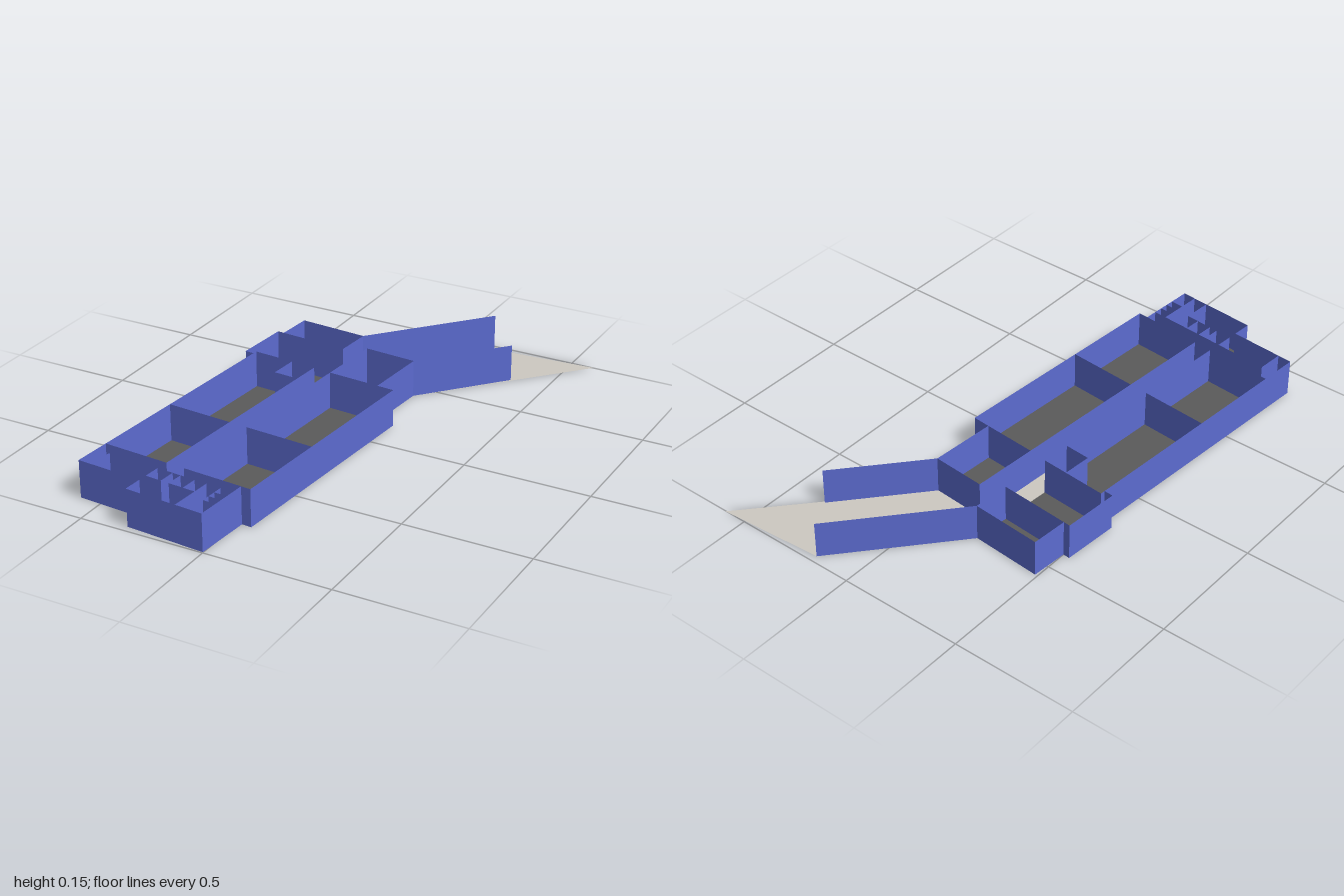
import * as THREE from 'three';
import { mergeGeometries } from 'three/addons/utils/BufferGeometryUtils.js';

const H = 0.15; // wall height

const material = (name, color) => {
  const m = new THREE.MeshStandardMaterial({ color, side: THREE.DoubleSide });
  m.name = name;
  return m;
};

// corners of an axis-aligned room, from (u0, v0) to (u1, v1)
const rect = (u0, v0, u1, v1) => [[u0, v0], [u1, v0], [u1, v1], [u0, v1]];

// flat floor from a plan outline, facing up
function floorGeometry(points) {
  const shape = new THREE.Shape(points.map(([u, v]) => new THREE.Vector2(u, -v)));
  return new THREE.ShapeGeometry(shape).rotateX(-Math.PI / 2);
}

// upright thin walls along a plan polyline
function wallGeometry(points) {
  const panels = [];
  for (let i = 1; i < points.length; i++) {
    const [u0, v0] = points[i - 1], [u1, v1] = points[i];
    const g = new THREE.PlaneGeometry(Math.hypot(u1 - u0, v1 - v0), H);
    g.rotateY(-Math.atan2(v1 - v0, u1 - u0));
    g.translate((u0 + u1) / 2, H / 2, (v0 + v1) / 2);
    panels.push(g);
  }
  return mergeGeometries(panels);
}

export function createModel() {
  const blue = material('wall blue', 0x5c6bd0);
  const grey = material('room floor grey', 0x5a5a5a);
  const beige = material('corridor beige', 0xcdc9c1);

  const model = new THREE.Group();
  model.name = 'floorPlan';
  const plan = new THREE.Group();
  plan.name = 'building';
  plan.rotation.y = -THREE.MathUtils.degToRad(4.3);
  model.add(plan);

  const add = (name, geometry, mat) => {
    const mesh = new THREE.Mesh(geometry, mat);
    mesh.name = name;
    plan.add(mesh);
  };

  // main plan lines
  const L = -0.52, CL = -0.248, CR = -0.172, R = 0.112, E = 0.073;
  const south = 0.764, hall = 0.813, end = 0.916, front = 0.993;

  // room floors
  const rooms = {
    backLeftRoom: rect(-0.53, -0.523, CL, -0.377),
    sideRoom: [[-0.557, -0.377], [CL, -0.377], [CL, -0.172], [L, -0.172], [L, -0.153], [-0.557, -0.153]],
    westHall: rect(L, -0.172, CL, south),
    backRightRoom: rect(CR, -0.431, 0.042, -0.167),
    eastHall: rect(CR, -0.167, R, south),
    frontRooms: [[-0.463, hall], [E, hall], [E, front], [-0.25, front], [-0.25, end], [-0.463, end]],
  };
  for (const [name, outline] of Object.entries(rooms)) add(name + 'Floor', floorGeometry(outline), grey);

  // corridor with its slanted passage
  add('corridorFloor', floorGeometry([
    [CL, -0.523], [0.095, -0.982], [0.516, -1.043], [0.042, -0.431], [CR, -0.431],
    [CR, south], [E, south], [E, hall], [-0.463, hall], [-0.463, end], [L, end], [L, south], [CL, south],
  ]), beige);

  // walls
  const walls = {
    backLeftRoom: [[CL, -0.377], [CL, -0.523], [-0.53, -0.523], [-0.53, -0.377]],
    sideRoom: [[CL, -0.377], [-0.557, -0.377], [-0.557, -0.153], [L, -0.153]],
    westHall: [[CL, -0.172], [L, -0.172], [L, south], [CL, south], [CL, -0.172]],
    westDivider: [[L, 0.385], [CL, 0.385]],
    westCloset: [[-0.351, -0.172], [-0.351, -0.055], [CL, -0.055]],
    backRightRoom: [[CR, -0.167], [CR, -0.431], [0.042, -0.431], [0.042, -0.167]],
    eastHall: [[CR, -0.167], [R, -0.167], [R, south], [CR, south], [CR, -0.167]],
    eastDivider: [[CR, 0.385], [R, 0.385]],
    passageLeft: [[CL, -0.523], [0.095, -0.982]],
    passageRight: [[0.042, -0.431], [0.292, -0.764]],
    frontOuter: [[L, south], [L, end], [-0.25, end], [-0.25, front], [E, front], [E, south]],
    frontInner: [[-0.463, end], [-0.463, hall], [E, hall]],
    frontClosetLeft: [[-0.25, hall], [-0.25, 0.881], [-0.184, 0.881], [-0.184, hall]],
    frontClosetMiddle: [[-0.15, hall], [-0.15, 0.881], [-0.039, 0.881]],
    frontClosetDivider: [[-0.089, hall], [-0.089, 0.881]],
    frontPartitionLeft: [[-0.039, hall], [-0.039, front]],
    frontPartitionRight: [[0.021, hall], [0.021, front]],
  };
  for (const [name, line] of Object.entries(walls)) add(name + 'Wall', wallGeometry(line), blue);

  // small stalls along the right front side
  [0.849, 0.882, 0.915].forEach((v, i) => add('stallWall' + (i + 1), wallGeometry([[0.021, v], [E, v]]), blue));

  return model;
}
